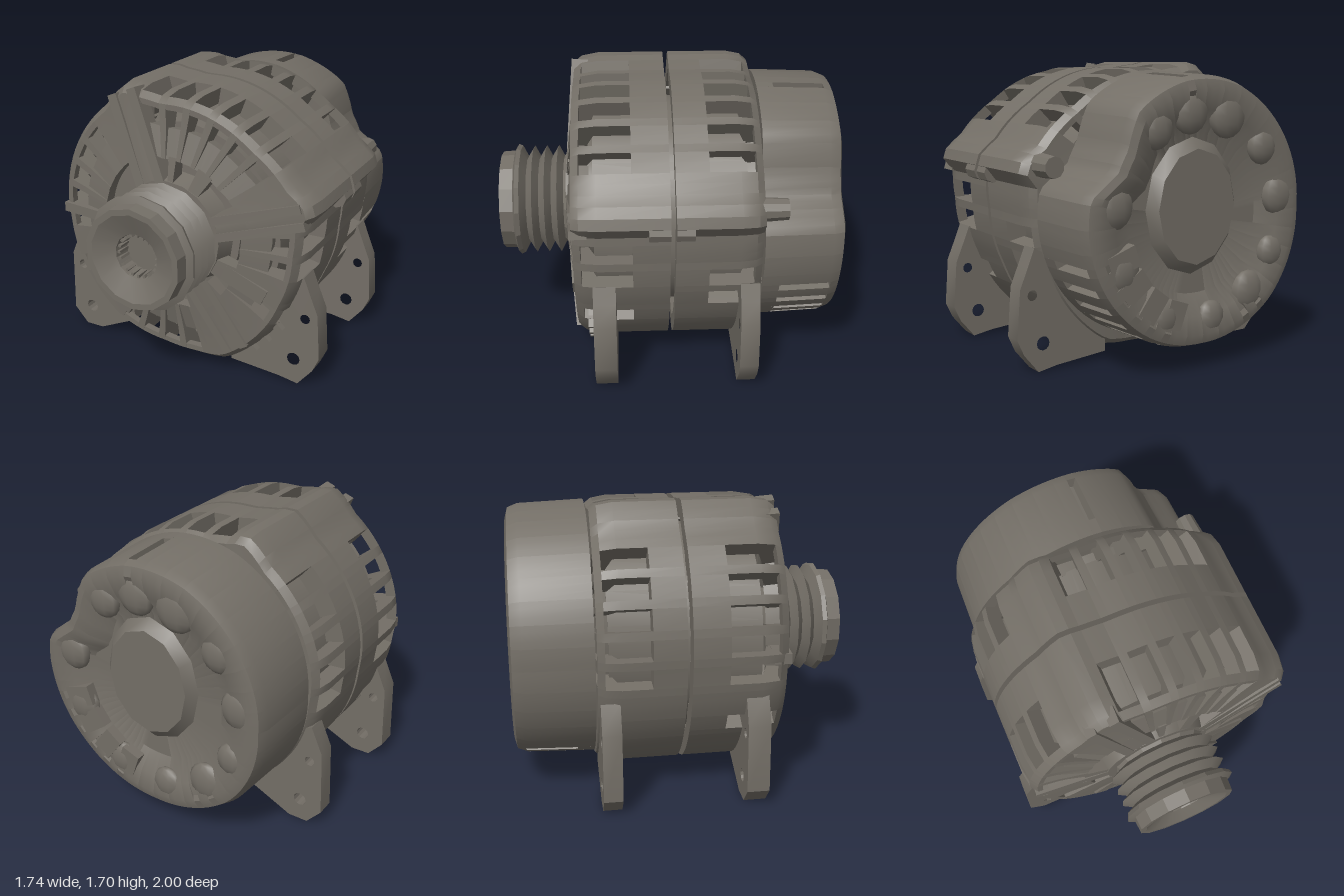
import * as THREE from 'three';
import { mergeGeometries, toCreasedNormals } from 'three/addons/utils/BufferGeometryUtils.js';

const CX = -0.03, CY = 0.86, RAD = Math.PI / 180;

// Housing radius by angle in degrees, with peaks at the two clamping lugs
const OUTLINE = [[0, .81], [12, .84], [16, .92], [20, .92], [28, .86], [49, .81], [66, .81], [95, .81],
  [104, .85], [111, .91], [116, .89], [124, .85], [146, .83], [170, .81], [185, .79], [215, .8],
  [238, .82], [265, .8], [280, .82], [293, .86], [310, .83], [335, .8], [360, .81]];
// Rear cover radius, cut away on the upper left side
const COVER = [[0, .78], [12, .78], [18, .72], [26, .66], [38, .67], [48, .73], [54, .77], [80, .79], [110, .79],
  [135, .77], [180, .74], [225, .76], [270, .74], [315, .75], [360, .78]];
const radiusFrom = table => deg => {
  const a = ((deg % 360) + 360) % 360;
  const i = Math.max(1, table.findIndex(p => p[0] >= a));
  const [a0, r0] = table[i - 1], [a1, r1] = table[i];
  return r0 + (r1 - r0) * (a - a0) / (a1 - a0);
};
const housingRadius = radiusFrom(OUTLINE), coverRadius = radiusFrom(COVER);

// Solid swept about the shaft from angle a0 to a1; profile points are [radius fraction, z]
function sector(profile, a0, a1, radius) {
  let pts = profile.map(p => new THREE.Vector2(p[0], p[1]));
  if (THREE.ShapeUtils.isClockWise(pts)) pts = pts.reverse();
  const n = Math.max(1, Math.round((a1 - a0) / 4)), m = pts.length, pos = [], idx = [];
  for (let s = 0; s <= n; s++) {
    const a = a0 + (a1 - a0) * s / n, r = radius(a);
    for (const p of pts) pos.push(CX + p.x * r * Math.cos(a * RAD), CY + p.x * r * Math.sin(a * RAD), p.y);
  }
  for (let s = 0; s < n; s++) for (let i = 0; i < m; i++) {
    const j = (i + 1) % m, p = s * m + i, q = p + m, u = s * m + j, v = u + m;
    idx.push(p, q, u, q, v, u);
  }
  for (const [a, b, c] of THREE.ShapeUtils.triangulateShape(pts, [])) {
    idx.push(a, b, c, n * m + a, n * m + c, n * m + b);
  }
  const g = new THREE.BufferGeometry();
  g.setAttribute('position', new THREE.Float32BufferAttribute(pos, 3));
  g.setIndex(idx);
  return toCreasedNormals(g, 0.5);
}
const inside = (a, ranges) => ranges.some(([lo, hi]) => a >= lo && a < hi);

// Housing half profiles, z measured away from the parting gap
const SOLID = [[1, 0], [1, .4], [.98, .5], [.94, .545], [.78, .555], [.56, .58], [.56, .5], [.76, .46], [.88, .42], [.88, 0]];
const BAND = [[1, 0], [1, .21], [.86, .21], [.86, 0]];
const RIM = [[.98, .5], [.94, .545], [.9, .545], [.9, .5]];
const RING = [[.77, .53], [.56, .575], [.56, .5], [.75, .45]];
// Webs that cross the inner vents from ring to hub
const WEB = [[.58, .578], [.36, .6], [.36, .5], [.58, .5]];

function housing(mapZ, slots, webs) {
  const parts = [];
  const add = (profile, a, b) => parts.push(sector(profile.map(([f, z]) => [f, mapZ(z)]), a, b, housingRadius));
  for (let a = 0; a < 360; a += 12) {
    if (inside(a, slots)) {
      for (const p of [BAND, RIM, RING]) add(p, a, a + 8.5);
      add(SOLID, a + 8.5, a + 12);
    } else add(SOLID, a, a + 12);
  }
  for (const [a, b] of webs) add(WEB, a, b);
  return mergeGeometries(parts);
}

export function createModel() {
  const model = new THREE.Group();
  const metal = new THREE.MeshStandardMaterial({ color: 0x736e66 });
  metal.name = 'warm grey metal';
  const put = (name, geometry, x = 0, y = 0, z = 0, parent = model) => {
    const mesh = new THREE.Mesh(geometry, metal);
    mesh.name = name;
    mesh.position.set(x, y, z);
    parent.add(mesh);
    return mesh;
  };
  const disc = (r0, r1, h, n) => toCreasedNormals(new THREE.CylinderGeometry(r0, r1, h, n).rotateX(Math.PI / 2), 0.5);

  // Two slotted housing halves around the stator
  const webs = [[8, 30], [54, 66], [84, 90], [100, 124], [166, 192], [206, 244], [262, 268], [286, 316], [328, 344]];
  put('frontHousing', housing(z => z, [[36, 108], [0, 12], [348, 360], [132, 192], [204, 216], [240, 288], [324, 336]], webs));
  put('rearHousing', housing(z => -0.03 - z * 0.9, [[36, 108], [132, 192], [240, 288], [336, 360]], webs));
  put('stator', disc(0.635, 0.635, 0.88, 40), CX, CY, -0.01);
  put('rotorFan', disc(0.4, 0.4, 0.06, 24), CX, CY, 0.44);
  put('frontHub', disc(0.33, 0.36, 0.12, 20), CX, CY, 0.54);

  // Raised spokes between hub and rim: [angle, width, outer radius, sideways offset]
  const spokes = new THREE.Group();
  spokes.name = 'frontSpokes';
  model.add(spokes);
  for (const [deg, w, end, off] of [[112, .06, .86, .07], [112, .06, .86, -.07], [17, .05, .85, .05],
    [17, .05, .85, -.05], [179, .06, .77, 0], [212, .1, .66, 0], [238, .1, .7, 0],
    [302, .05, .79, .06], [302, .05, .79, -.06], [335, .1, .66, 0]]) {
    const s = put('spoke', new THREE.BoxGeometry(end - 0.3, w, 0.1), 0, 0, 0, spokes);
    const a = deg * RAD, mid = (end + 0.3) / 2;
    s.position.set(CX + mid * Math.cos(a) - off * Math.sin(a), CY + mid * Math.sin(a) + off * Math.cos(a), 0.53);
    s.rotation.set(0, 0, a);
    s.rotateY(0.08);
  }

  // Grooved pulley with a flanged nose and hollow bore
  const profile = [[0, .58], [.3, .58]];
  for (let i = 0; i < 4; i++) profile.push([.27, .62 + i * .075], [.335, .655 + i * .075]);
  profile.push([.345, .905], [.305, .92], [.3, 1], [.265, 1], [.135, .95], [.12, .86], [0, .86]);
  const pulley = new THREE.LatheGeometry(profile.map(p => new THREE.Vector2(p[0], p[1])), 14).rotateX(Math.PI / 2);
  put('pulley', toCreasedNormals(pulley, 0.35), -0.02, 0.865, 0);
  const teeth = new THREE.Group();
  teeth.name = 'boreTeeth';
  model.add(teeth);
  for (let i = 0; i < 20; i++) {
    const a = i * Math.PI / 10;
    put('tooth', new THREE.BoxGeometry(.02, .016, .08), -0.02 + .122 * Math.cos(a), .865 + .122 * Math.sin(a), .9, teeth).rotation.z = a;
  }

  // Mounting ears with bolt holes, on both housing halves
  const ears = {
    leftEar: [[[.76, .7], [.8, .6], [.85, .48], [.87, .2], [.83, .11], [.74, 0], [.62, .02], [.3, .045], [.3, .3], [.6, .62]], [.71, .16], [.775, .44]],
    rightEar: [[[-.79, .66], [-.86, .5], [-.87, .1], [-.78, 0], [-.66, 0], [-.4, .12], [-.4, .3], [-.65, .6]], [-.73, .14], [-.785, .43]],
  };
  for (const [name, [points, ...bolts]] of Object.entries(ears)) {
    const shape = new THREE.Shape(points.map(p => new THREE.Vector2(...p)));
    bolts.forEach(([x, y], i) => shape.holes.push(new THREE.Path().absarc(x, y, i ? .03 : .04, 0, Math.PI * 2, true)));
    for (const [side, z, d] of [['front', .31, .13], ['rear', -.51, .11]]) {
      const g = new THREE.ExtrudeGeometry(shape, { depth: d, bevelEnabled: false, curveSegments: 6 });
      put(side + '_' + name, toCreasedNormals(g, 0.5), 0, 0, z);
    }
    // Stiffening webs from the ears into the housing
    const sx = Math.sign(points[0][0]);
    for (const [x, y] of [[.53, .28], [.61, .38], [.45, .2]]) {
      put('earWeb', new THREE.BoxGeometry(.12, .04, .14), sx * x + CX * .5, y, .41).rotation.z = -.75 * sx;
    }
  }

  // Rear cover with grille slots on its lower sides and a notch on top
  const coverSolid = [[1, -.53], [.98, -.92], [.95, -.98], [.88, -.995], [.74, -.975], [.58, -.91], [0.01, -.91], [0.01, -.56]];
  const coverSlot = [[.86, -.56], [.86, -.98], [.74, -.975], [.58, -.91], [0.01, -.91], [0.01, -.56]];
  const coverBand = [[1, -.53], [.995, -.63], [.84, -.63], [.84, -.53]];
  const coverLip = [[.975, -.93], [.95, -.98], [.88, -.995], [.84, -.98], [.84, -.93]];
  const coverParts = [];
  for (let a = 0; a < 360; a += 10) {
    if (inside(a, [[230, 250], [290, 350], [80, 90]])) {
      for (const p of [coverSlot, coverBand, coverLip]) coverParts.push(sector(p, a, a + 4, coverRadius));
      coverParts.push(sector(coverSolid, a + 4, a + 10, coverRadius));
    } else coverParts.push(sector(coverSolid, a, a + 10, coverRadius));
  }
  put('rearCover', mergeGeometries(coverParts));
  const pad = put('rearPad', disc(0.36, 0.29, 0.07, 12), 0, 0.92, -0.93);
  pad.scale.set(0.9, 1.1, 1);

  // Rounded bosses around the cover rim
  const bosses = new THREE.Group();
  bosses.name = 'coverBosses';
  model.add(bosses);
  for (const [deg, r] of [[10, .12], [58, .11], [82, .12], [108, .13], [140, .11], [172, .12], [205, .1], [232, .12], [262, .1], [295, .11], [335, .12]]) {
    const x = CX + .58 * Math.cos(deg * RAD), y = CY + .58 * Math.sin(deg * RAD);
    put('boss', new THREE.SphereGeometry(r, 10, 8), x, y, -.95, bosses).scale.z = .05 / r;
  }

  // Grille blocks on the lower back face
  for (let i = 0; i < 4; i++) {
    const a = (290 + i * 17) * RAD;
    put('grilleBlock', new THREE.BoxGeometry(.18, .12, .06), CX + .56 * Math.cos(a), CY + .56 * Math.sin(a), -.96).rotation.z = a;
  }

  // Side clamp lugs and connector boss
  put('frontClampLug', disc(.06, .06, .12, 8), .805, 1.08, .06);
  put('rearClampLug', disc(.06, .06, .1, 8), .805, 1.08, -.08);
  put('connectorBoss', disc(.08, .06, .32, 10), .71, 1.15, -.49);
  return model;
}
